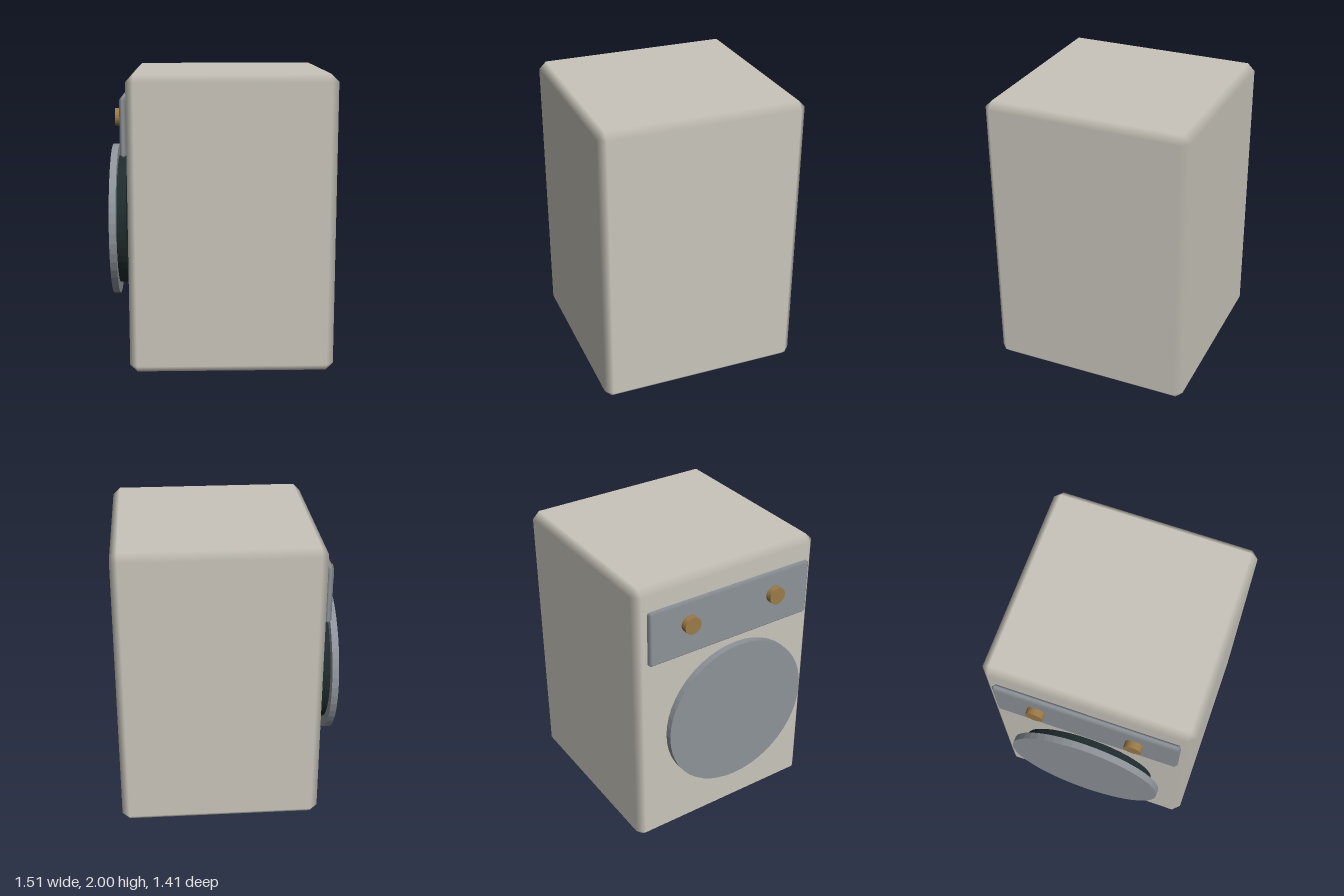
import * as THREE from 'three';

const mat = (name, color) => {
  const m = new THREE.MeshStandardMaterial({ color });
  m.name = name;
  return m;
};

// Box with a single chamfer on every edge; normals blend softly over the chamfers.
function chamferBox(w, h, d, c) {
  const half = [w / 2, h / 2, d / 2];
  const pos = [], nor = [], index = [];
  const id = (axis, s) => axis * 8 + (s[0] > 0 ? 1 : 0) + (s[1] > 0 ? 2 : 0) + (s[2] > 0 ? 4 : 0);
  for (let axis = 0; axis < 3; axis++) {
    for (let k = 0; k < 8; k++) {
      const s = [0, 1, 2].map((b) => ((k >> b) & 1 ? 1 : -1));
      pos.push(...s.map((v, i) => v * (i === axis ? half[i] : half[i] - c)));
      nor.push(...s.map((v, i) => (i === axis ? v : 0)));
    }
  }
  const point = (i) => new THREE.Vector3().fromArray(pos, i * 3);
  const normal = (i) => new THREE.Vector3().fromArray(nor, i * 3);
  // Add a triangle so that it faces outward
  const tri = (a, b, e) => {
    const n = point(b).sub(point(a)).cross(point(e).sub(point(a)));
    const out = normal(a).add(normal(b)).add(normal(e));
    index.push(...(n.dot(out) > 0 ? [a, b, e] : [a, e, b]));
  };
  const quad = (a, b, e, f) => { tri(a, b, e); tri(a, e, f); };
  const signs = (i, si, j, sj, k, sk) => {
    const s = [];
    s[i] = si; s[j] = sj; s[k] = sk;
    return s;
  };
  for (let i = 0; i < 3; i++) {
    const j = (i + 1) % 3, k = (i + 2) % 3;
    for (const a of [-1, 1]) {
      // flat face
      quad(...[[-1, -1], [1, -1], [1, 1], [-1, 1]].map(([u, v]) => id(i, signs(i, a, j, u, k, v))));
      // edge chamfers between faces i and j
      for (const b of [-1, 1]) {
        const lo = signs(i, a, j, b, k, -1), hi = signs(i, a, j, b, k, 1);
        quad(id(i, lo), id(i, hi), id(j, hi), id(j, lo));
      }
    }
  }
  // corner triangles
  for (let k = 0; k < 8; k++) tri(k, 8 + k, 16 + k);
  const g = new THREE.BufferGeometry();
  g.setAttribute('position', new THREE.Float32BufferAttribute(pos, 3));
  g.setAttribute('normal', new THREE.Float32BufferAttribute(nor, 3));
  g.setIndex(index);
  return g;
}

// Faceted disc lying across the x axis
function disc(radius, depth, sides) {
  const g = new THREE.CylinderGeometry(radius, radius, depth, sides).rotateZ(Math.PI / 2).toNonIndexed();
  g.computeVertexNormals();
  return g;
}

export function createModel() {
  const group = new THREE.Group();
  group.name = 'washingMachine';
  const shell = mat('warmWhiteEnamel', 0xc9c5bb);
  const steel = mat('steelGrey', 0x8d9399);
  const seal = mat('darkSeal', 0x1f2b2d);
  const brass = mat('brass', 0x9c7a48);

  const add = (name, geometry, material, x, y, z) => {
    const m = new THREE.Mesh(geometry, material);
    m.name = name;
    m.position.set(x, y, z);
    group.add(m);
  };

  // Cabinet
  add('cabinet', chamferBox(1.375, 2, 1.41, 0.05), shell, 0.0675, 1, 0);

  // Control panel and knobs on the -x side
  add('controlPanel', chamferBox(0.045, 0.395, 1.255, 0.018), steel, -0.642, 1.653, 0);
  for (const side of [-1, 1]) {
    add(side < 0 ? 'knobBack' : 'knobFront', disc(0.06, 0.045, 20), brass, -0.687, 1.693, side * 0.332);
  }

  // Round door with its dark seal behind
  add('doorSeal', disc(0.46, 0.065, 48), seal, -0.677, 0.925, 0);
  add('door', disc(0.537, 0.046, 48), steel, -0.732, 0.925, 0);

  return group;
}
